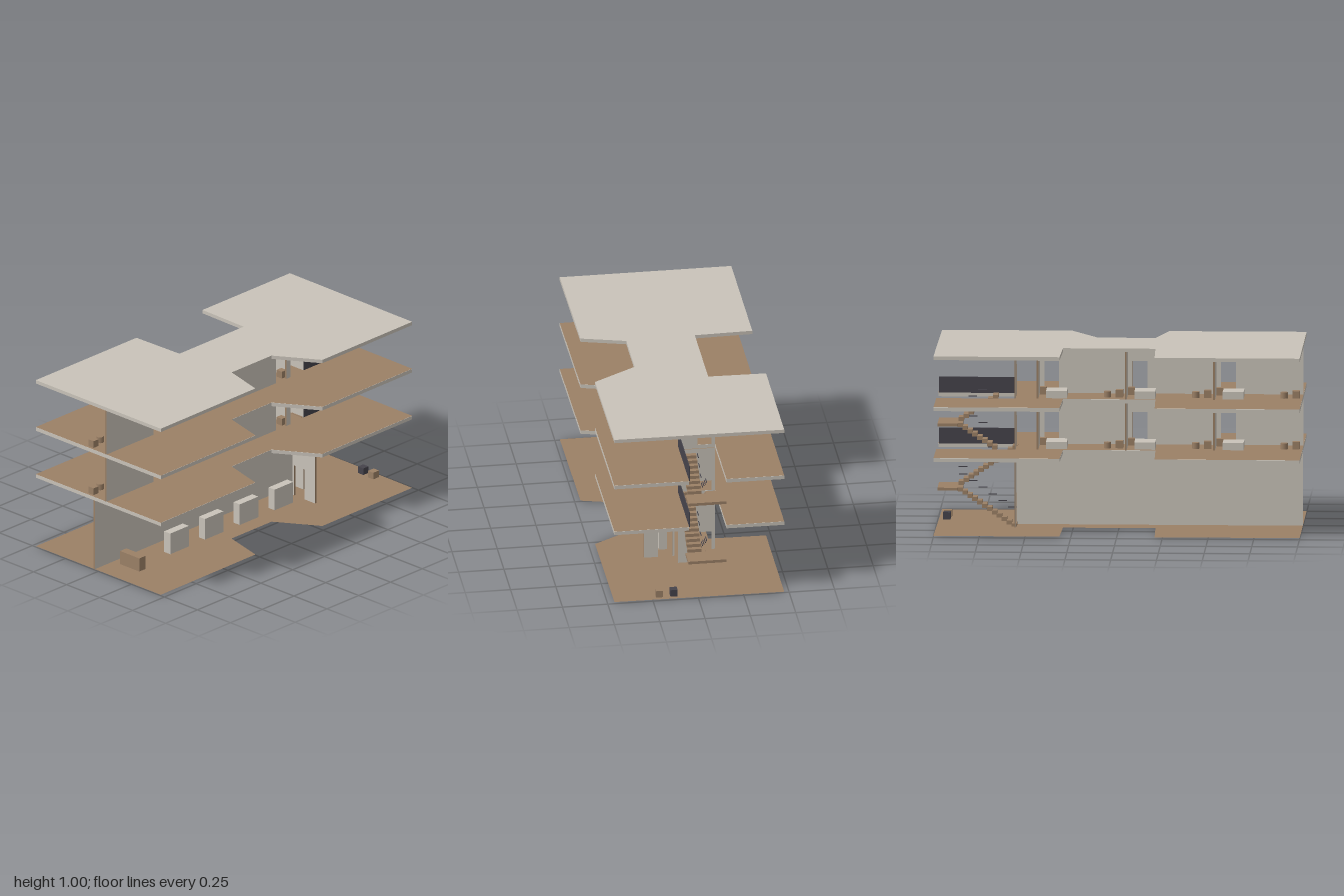
import * as THREE from 'three';

const material = (name, color, side = THREE.FrontSide) => {
  const m = new THREE.MeshStandardMaterial({ color, side });
  m.name = name;
  return m;
};

export function createModel() {
  const model = new THREE.Group();
  const plaster = material('plaster', 0xc9c3b9);
  const wood = material('wood', 0x9b8066, THREE.DoubleSide);
  const dark = material('dark metal', 0x45434b);

  const add = (name, geometry, mat, parent = model) => {
    const mesh = new THREE.Mesh(geometry, mat);
    mesh.name = name;
    parent.add(mesh);
    return mesh;
  };
  // Box given by its minimum and maximum corners
  const box = (name, x0, x1, y0, y1, z0, z1, mat, parent) => {
    const mesh = add(name, new THREE.BoxGeometry(x1 - x0, y1 - y0, z1 - z0), mat, parent);
    mesh.position.set((x0 + x1) / 2, (y0 + y1) / 2, (z0 + z1) / 2);
    return mesh;
  };

  // Plaster wall with wooden edges; doors are notches in its lower edge
  const DOOR = 0.18;
  const wallShape = (a, b, height, doors) => {
    const s = new THREE.Shape();
    s.moveTo(a, 0);
    for (const [d0, d1] of doors) {
      s.lineTo(d0, 0);
      s.lineTo(d0, DOOR);
      s.lineTo(d1, DOOR);
      s.lineTo(d1, 0);
    }
    s.lineTo(b, 0);
    s.lineTo(b, height);
    s.lineTo(a, height);
    return s;
  };
  const wall = (name, along, a, b, at, y, height, doors = [], thick = 0.01) => {
    const g = new THREE.ExtrudeGeometry(wallShape(a, b, height, doors), { depth: thick, bevelEnabled: false });
    g.translate(0, 0, -thick / 2);
    if (along === 'z') g.rotateY(-Math.PI / 2);
    const mesh = add(name, g, [plaster, wood]);
    mesh.position.set(along === 'z' ? at : 0, y, along === 'x' ? at : 0);
  };

  // Footprint as [x, z]; middle storeys have a stair opening in the back edge
  const backEdge = [[-0.473, -1], [0.462, -0.99]];
  const openEdge = [[-0.473, -1], [-0.155, -0.997], [-0.155, -0.565], [0.05, -0.565], [0.05, -0.994], [0.462, -0.99]];
  const rest = [[0.465, -0.28], [0.225, -0.13], [0.225, 0.185], [0.468, 0.25], [0.473, 1],
    [-0.473, 1], [-0.473, 0.208], [-0.155, 0.2], [-0.155, -0.305], [-0.473, -0.312]];
  const footprint = (open) =>
    new THREE.Shape([...(open ? openEdge : backEdge), ...rest].map(([x, z]) => new THREE.Vector2(x, -z)));
  const sheet = (name, y, open) => {
    const mesh = add(name, new THREE.ShapeGeometry(footprint(open)).rotateX(-Math.PI / 2), wood);
    mesh.position.y = y;
  };
  const slab = (name, y0, y1, open) => {
    const g = new THREE.ExtrudeGeometry(footprint(open), { depth: y1 - y0, bevelEnabled: false });
    add(name, g.rotateX(-Math.PI / 2), plaster).position.y = y0;
  };

  // Floors and roof
  sheet('groundFloor', 0.001, false);
  slab('firstSlab', 0.41, 0.43, true);
  sheet('firstFloor', 0.431, true);
  slab('secondSlab', 0.69, 0.711, true);
  sheet('secondFloor', 0.712, true);
  slab('roof', 0.972, 0.992, false);

  // Ground storey walls
  const stairDoor = [[-0.135, -0.057]];
  wall('groundLongWall', 'z', -0.565, 1, -0.031, 0, 0.41);
  wall('groundStairWall', 'x', -0.155, 0.05, -0.567, 0, 0.41, stairDoor, 0.007);
  wall('groundEntryWall', 'x', 0.057, 0.225, -0.477, 0, 0.41, [[0.068, 0.148]], 0.012);

  // Ground storey furniture
  box('receptionCounter', 0.025, 0.171, 0, 0.079, 0.805, 0.855, wood);
  [0.497, 0.224, -0.05, -0.325].forEach((z) =>
    box('displayBlock', 0.085, 0.131, 0, 0.124, z - 0.073, z + 0.073, plaster));
  box('backStool', 0.19, 0.23, 0, 0.04, -0.97, -0.925, wood);
  box('backBin', 0.11, 0.15, 0, 0.04, -0.97, -0.93, dark);

  // Upper storeys: three rooms along a corridor wall
  const pitch = 0.4825;
  for (const [y, height] of [[0.43, 0.26], [0.711, 0.261]]) {
    const doors = [2, 1, 0].map((i) => [0.55 - i * pitch, 0.63 - i * pitch]);
    wall('corridorWall', 'z', -0.45, 1, 0.057, y, height, doors);
    wall('stairWall', 'x', -0.155, 0.05, -0.567, y, height, stairDoor, 0.007);
    for (let i = 0; i < 3; i++) {
      const dz = -i * pitch;
      wall('roomWall', 'x', -0.155, 0.052, 0.52 + dz, y, height);
      const room = new THREE.Group();
      room.name = 'roomFurniture';
      room.position.set(0, y, dz);
      model.add(room);
      box('bed', -0.135, -0.005, 0, 0.041, 0.566, 0.68, plaster, room);
      box('bedsideTable', 0.002, 0.042, 0, 0.041, 0.527, 0.564, wood, room);
      box('desk', -0.09, -0.05, 0, 0.041, 0.945, 0.985, wood, room);
      const stool = add('stool', new THREE.CylinderGeometry(0.02, 0.02, 0.035, 8), wood, room);
      stool.position.set(-0.082, 0.0175, 0.9);
    }
    box('stairRailing', 0.046, 0.05, y, y + 0.088, -0.99, -0.565, dark);
  }

  // Stairs: one flight back to the landing, the other forward to the next floor
  const stair = (y0, steps, landingY) => {
    const tread = 0.0268, rise = (landingY - y0) / steps, turn = -0.88;
    const group = new THREE.Group();
    group.name = 'staircase';
    model.add(group);
    for (let i = 0; i < steps; i++) {
      const zUp = turn + (steps - i) * tread, yUp = y0 + (i + 1) * rise;
      const zBack = turn + i * tread, yBack = landingY + (i + 1) * rise;
      box('lowerStep', -0.135, -0.06, yUp - 0.022, yUp, zUp - 0.029, zUp, wood, group);
      box('upperStep', -0.035, 0.042, yBack - 0.022, yBack, zBack, zBack + 0.029, wood, group);
      // Short dark rail pieces above every second step
      if (i % 2 === 0) {
        box('lowerRail', -0.066, -0.062, yUp + 0.078, yUp + 0.083, zUp - 0.05, zUp - 0.003, dark, group);
        if (yBack < y0 + 2 * (landingY - y0) - 0.04)
          box('upperRail', -0.035, -0.031, yBack + 0.078, yBack + 0.083, zBack, zBack + 0.048, dark, group);
      }
    }
    box('landing', -0.155, 0.054, landingY - 0.016, landingY, -0.99, turn, wood, group);
  };
  stair(0, 12, 0.217);
  stair(0.431, 8, 0.572);

  return model;
}
